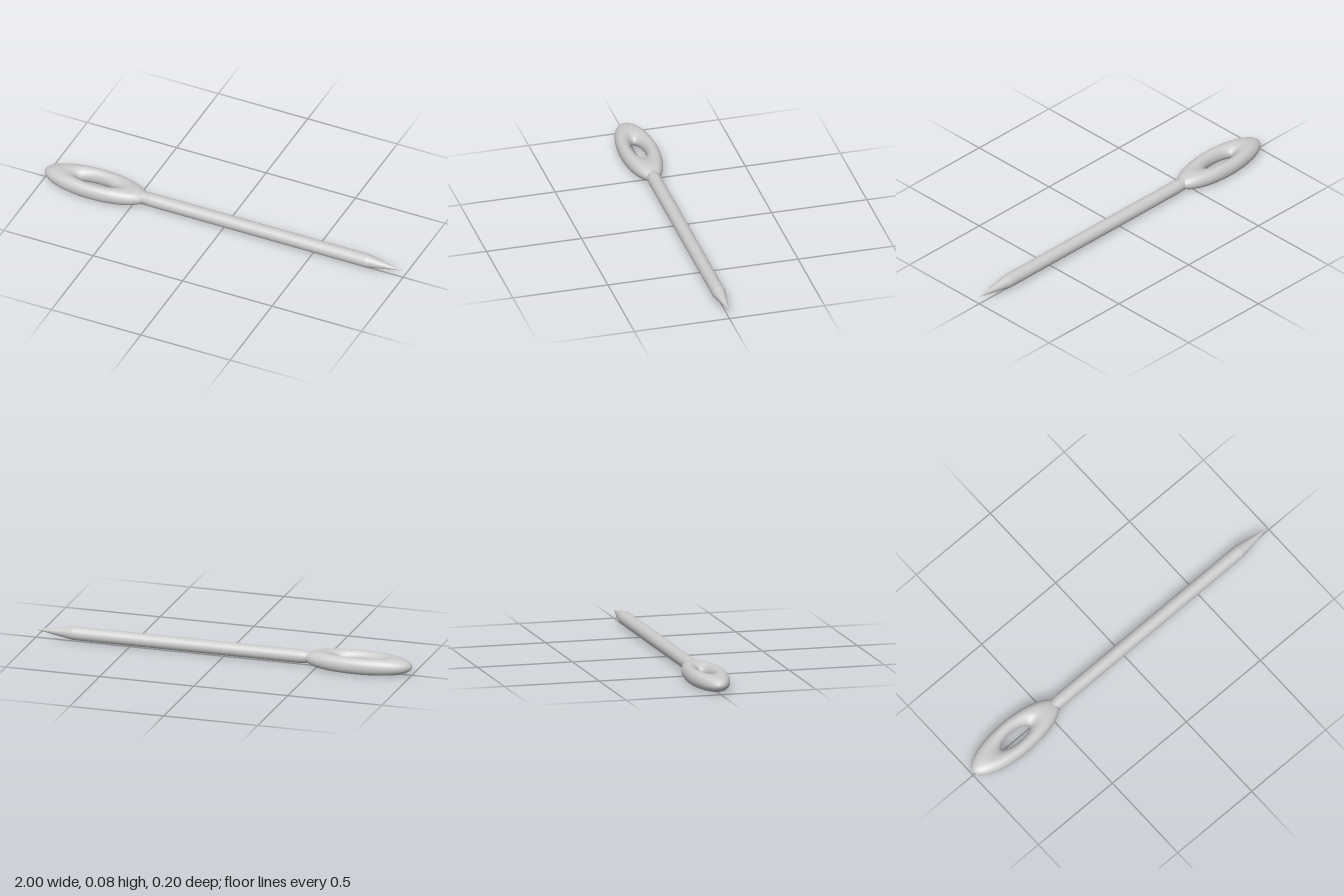
import * as THREE from 'three';

const AXIS_Y = 0.042; // height of the long axis

// Turn a profile of [x, radius] pairs around the long axis
function turned(name, profile, material) {
  const points = profile.map(([x, r]) => new THREE.Vector2(r, x));
  const mesh = new THREE.Mesh(new THREE.LatheGeometry(points, 32), material);
  mesh.name = name;
  mesh.rotation.z = -Math.PI / 2;
  mesh.position.y = AXIS_Y;
  return mesh;
}

export function createModel() {
  const model = new THREE.Group();
  model.name = 'eyePin';
  const material = new THREE.MeshStandardMaterial({ color: 0xcccccc });

  // Flattened oval eye
  const eyeGeometry = new THREE.TorusGeometry(0.19, 0.095, 32, 64);
  eyeGeometry.rotateX(Math.PI / 2);
  eyeGeometry.scale(1, 0.042 / 0.095, 0.352);
  const eye = new THREE.Mesh(eyeGeometry, material);
  eye.name = 'eye';
  eye.position.set(-0.715, AXIS_Y, 0);
  model.add(eye);

  // Straight shaft with a slightly narrowed neck rooted in the eye
  model.add(turned('shaft', [
    [-0.54, 0], [-0.52, 0.032], [-0.46, 0.031], [-0.44, 0.031],
    [-0.42, 0.034], [-0.4, 0.035], [0.8, 0.035],
  ], material));

  // Conical point
  model.add(turned('point', [[0.8, 0.035], [0.9, 0.0175], [1, 0]], material));

  return model;
}
